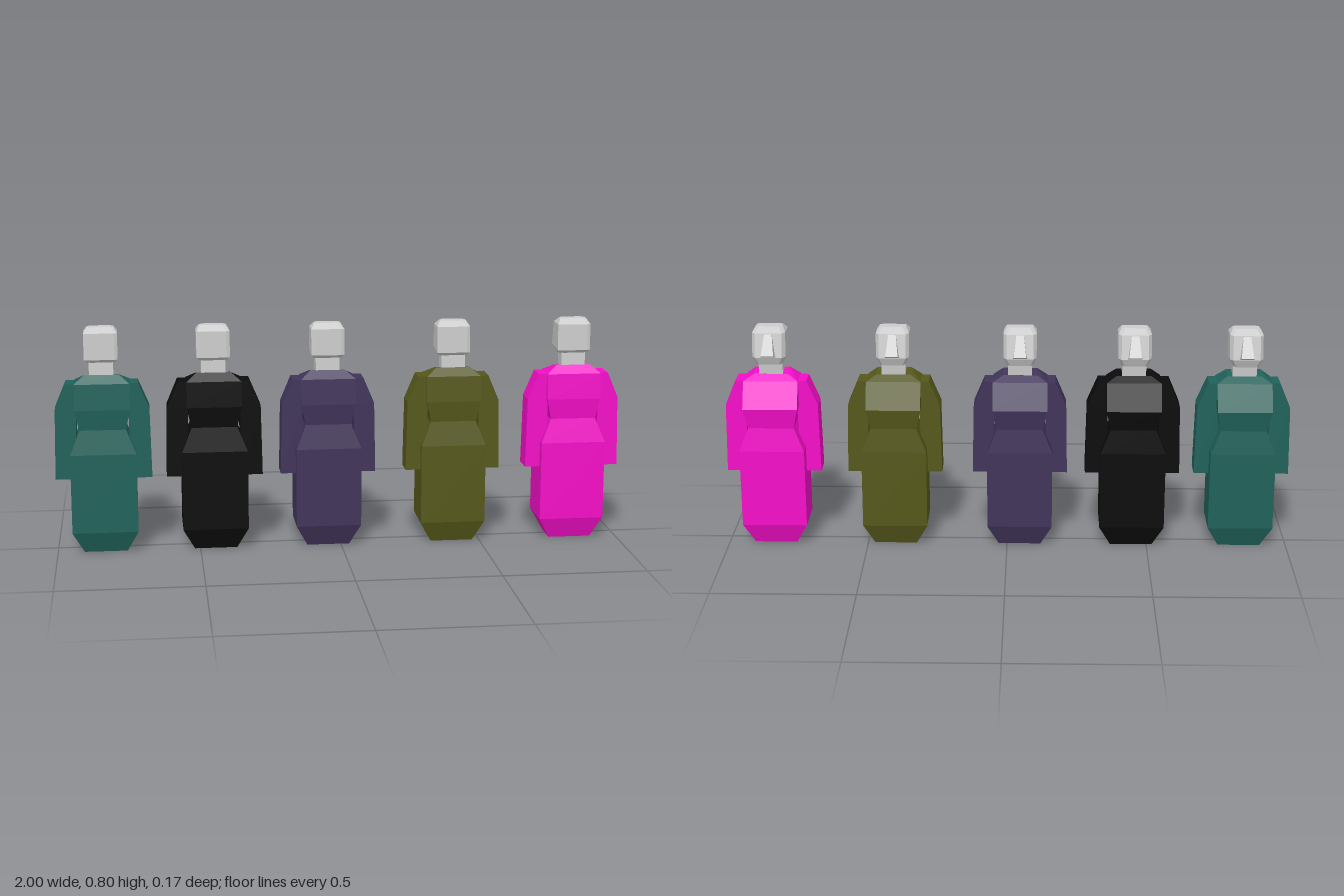
import * as THREE from 'three';

// Skins a stack of rings (bottom to top, each counter-clockwise from above) and caps both ends.
function loft(rings) {
  const n = rings[0].length, index = [];
  for (let r = 0; r < rings.length - 1; r++) {
    for (let i = 0; i < n; i++) {
      const j = (i + 1) % n, a = r * n + i, b = r * n + j;
      index.push(a, b, b + n, a, b + n, a + n);
    }
  }
  const top = (rings.length - 1) * n;
  for (let i = 1; i < n - 1; i++) {
    index.push(0, i + 1, i, top, top + i, top + i + 1);
  }
  const geo = new THREE.BufferGeometry();
  geo.setAttribute('position', new THREE.Float32BufferAttribute(rings.flat(2), 3));
  geo.setIndex(index);
  const flat = geo.toNonIndexed();
  flat.computeVertexNormals();
  return flat;
}

// Four-cornered ring: x range, then height and depth of the +z edge and the -z edge.
const quad = (x0, x1, yA, zA, yB, zB) =>
  [[x1, yA, zA], [x1, yB, zB], [x0, yB, zB], [x0, yA, zA]];

// Eight-cornered ring: the same, symmetric in x, with bevelled corners.
const bevelled = (h, yA, zA, yB, zB, c = 0.011) => [
  [h - c, yA, zA], [h, yA, zA - c * 0.4], [h, yB, zB + c * 1.4], [h - c, yB, zB],
  [c - h, yB, zB], [-h, yB, zB + c * 1.4], [-h, yA, zA - c * 0.4], [c - h, yA, zA],
];

// Robe: half width, y and z at the +z side, y and z at the -z side
const robeGeo = loft([
  [0.075, 0, 0.06, 0, -0.048],
  [0.115, 0.075, 0.087, 0.075, -0.075],
  [0.115, 0.355, 0.087, 0.355, -0.075],
  [0.08, 0.44, 0.07, 0.44, -0.066],
  [0.096, 0.512, 0.077, 0.512, -0.078],
  [0.096, 0.602, 0.071, 0.602, -0.03],
  [0.06, 0.632, 0.05, 0.622, -0.005],
].map(([h, ...s]) => quad(-h, h, ...s)));

// Sleeve: y, inner x, outer x
const sleeveRings = side => [
  [0.265, 0.095, 0.168],
  [0.512, 0.09, 0.163],
  [0.602, 0.09, 0.125],
].map(([y, a, b]) => side > 0
  ? quad(a, b, y, 0.06, y, -0.022)
  : quad(-b, -a, y, 0.06, y, -0.022));

const neckGeo = loft([
  quad(-0.042, 0.042, 0.61, 0.052, 0.61, -0.004),
  quad(-0.042, 0.042, 0.68, 0.047, 0.68, -0.009),
]);

const headGeo = loft([
  bevelled(0.046, 0.673, 0.046, 0.667, -0.04),
  bevelled(0.058, 0.685, 0.06, 0.695, -0.052),
  bevelled(0.058, 0.777, 0.057, 0.778, -0.034),
  bevelled(0.046, 0.796, 0.035, 0.796, -0.005),
]);

// Wedge nose sloping from the brow to a blunt tip
const noseGeo = loft([
  quad(-0.026, 0.026, 0.695, -0.04, 0.698, -0.055),
  quad(-0.022, 0.022, 0.71, -0.038, 0.71, -0.083),
  quad(-0.013, 0.013, 0.776, -0.028, 0.776, -0.036),
]);

const sleeveGeos = { leftSleeve: loft(sleeveRings(1)), rightSleeve: loft(sleeveRings(-1)) };

function createFigure(color) {
  const figure = new THREE.Group();
  const cloth = new THREE.MeshStandardMaterial({ color, flatShading: true });
  const skin = new THREE.MeshStandardMaterial({ color: 0xcccccc, flatShading: true });
  const add = (name, geo, mat) => {
    const mesh = new THREE.Mesh(geo, mat);
    mesh.name = name;
    figure.add(mesh);
  };
  add('robe', robeGeo, cloth);
  for (const name in sleeveGeos) add(name, sleeveGeos[name], cloth);
  add('neck', neckGeo, skin);
  add('head', headGeo, skin);
  add('nose', noseGeo, skin);
  return figure;
}

export function createModel() {
  const model = new THREE.Group();
  model.name = 'robedFigures';
  // x position, robe colour
  [
    [-0.832, 0x20625a], [-0.445, 0x0b0b0b], [-0.045, 0x41345a],
    [0.4, 0x55581a], [0.832, 0xf50dc8],
  ].forEach(([x, color], i) => {
    const figure = createFigure(color);
    figure.name = `figure${i + 1}`;
    figure.position.x = x;
    model.add(figure);
  });
  return model;
}
